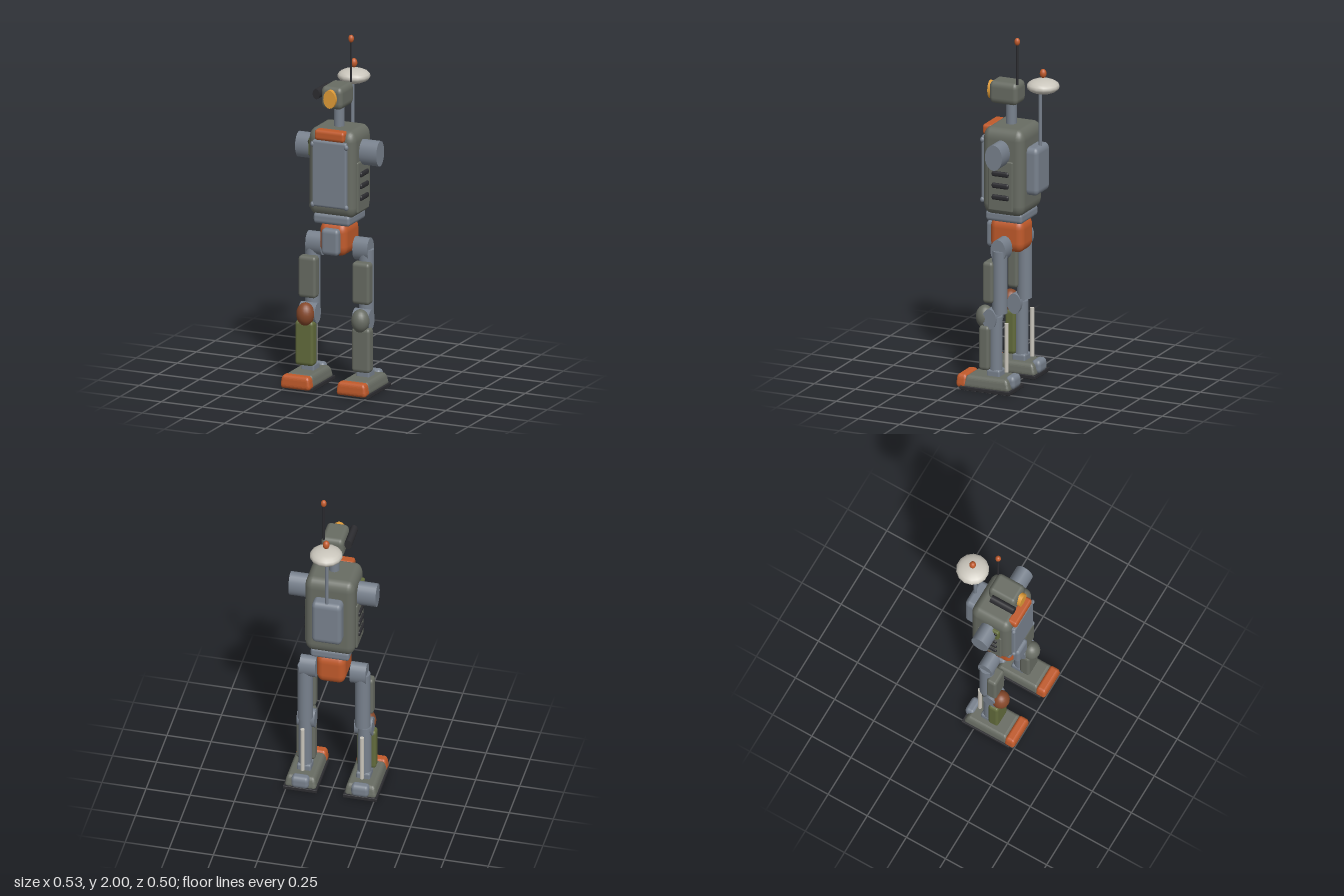
import * as THREE from 'three';
import { RoundedBoxGeometry } from 'three/addons/geometries/RoundedBoxGeometry.js';

const COLORS = {
  body: 0x686c63, steel: 0x78818d, orange: 0xc05a2b, dark: 0x2c2c30,
  rust: 0x86482a, olive: 0x626b3c, pale: 0xcac6bc, amber: 0xe09c38,
};
const mats = {};
for (const k in COLORS) mats[k] = new THREE.MeshStandardMaterial({ color: COLORS[k] });

// All round forms are stretched upward by this factor
const S = 1.4;

function add(parent, name, geo, color, x, y, z) {
  const mesh = new THREE.Mesh(geo, mats[color]);
  mesh.name = name;
  mesh.position.set(x, y, z);
  parent.add(mesh);
  return mesh;
}

// Rounded box given by its min/max on each axis; taper narrows the top
function box(parent, name, color, [x0, x1], [y0, y1], [z0, z1], r = 0.015, taper = 0) {
  const w = x1 - x0, h = y1 - y0, d = z1 - z0;
  const geo = new RoundedBoxGeometry(w, h / S, d, 3, Math.min(r, w * 0.49, h / S * 0.49, d * 0.49));
  geo.scale(1, S, 1);
  if (taper) {
    const p = geo.attributes.position;
    for (let i = 0; i < p.count; i++) {
      const k = 1 - taper * (p.getY(i) / h + 0.5);
      p.setX(i, p.getX(i) * k);
      p.setZ(i, p.getZ(i) * k);
    }
    geo.computeVertexNormals();
  }
  return add(parent, name, geo, color, (x0 + x1) / 2, (y0 + y1) / 2, (z0 + z1) / 2);
}

// Cylinder along 'x', 'y' or 'z'; ry is the vertical radius for lying ones
function rod(parent, name, color, axis, r, len, x, y, z, ry = r * S, seg = 24) {
  const geo = new THREE.CylinderGeometry(r, r, len, seg);
  if (axis === 'x') geo.rotateZ(Math.PI / 2);
  if (axis === 'z') geo.rotateX(Math.PI / 2);
  if (axis !== 'y') geo.scale(1, ry / r, 1);
  return add(parent, name, geo, color, x, y, z);
}

function ball(parent, name, color, r, ry, x, y, z, seg = 16, rings = 12) {
  return add(parent, name, new THREE.SphereGeometry(r, seg, rings).scale(1, ry / r, 1), color, x, y, z);
}

function part(root, name) {
  const g = new THREE.Group();
  g.name = name;
  root.add(g);
  return g;
}

function buildHead(g) {
  rod(g, 'neck', 'steel', 'y', 0.03, 0.16, 0, 1.55, 0.033);
  box(g, 'skull', 'body', [-0.064, 0.064], [1.607, 1.735], [-0.028, 0.143], 0.025);
  rod(g, 'eyeLens', 'amber', 'z', 0.037, 0.04, 0, 1.67, 0.143);
  rod(g, 'sideScope', 'dark', 'z', 0.021, 0.146, -0.084, 1.69, 0.082);
  rod(g, 'antenna', 'dark', 'y', 0.006, 0.25, 0.046, 1.855, -0.024, 0, 10);
  ball(g, 'antennaTip', 'orange', 0.016, 0.022, 0.046, 1.978, -0.024);
}

function buildTorso(g) {
  box(g, 'chest', 'body', [-0.142, 0.142], [0.99, 1.49], [-0.098, 0.15], 0.045);
  box(g, 'chestPlate', 'steel', [-0.104, 0.104], [1.05, 1.43], [0.13, 0.17], 0.01);
  box(g, 'collar', 'orange', [-0.09, 0.09], [1.43, 1.49], [0.11, 0.17], 0.014);
  box(g, 'backpack', 'steel', [-0.085, 0.085], [1.11, 1.385], [-0.165, -0.08], 0.025);
  for (const s of [-1, 1]) {
    for (const y of [1.06, 1.405]) ball(g, 'bolt', 'steel', 0.013, 0.016, s * 0.102, y, 0.162, 10, 8);
    rod(g, 'shoulder', 'steel', 'x', 0.052, 0.13, s * 0.182, 1.355, 0.028);
    const side = (a, b) => s > 0 ? [a, b] : [-b, -a];
    box(g, 'ventPanel', 'body', side(0.125, 0.149), [1.02, 1.31], [-0.042, 0.107], 0.006);
    for (const y of [1.1, 1.167, 1.235])
      box(g, 'ventSlat', 'dark', side(0.138, 0.16), [y - 0.015, y + 0.015], [-0.02, 0.082], 0.009);
  }
  // Small patch on the right flank
  box(g, 'sidePatch', 'olive', [-0.162, -0.135], [1.31, 1.415], [0.046, 0.097], 0.01);
  ball(g, 'patchStud', 'dark', 0.009, 0.013, -0.16, 1.39, 0.08, 10, 8);
}

function buildDish(g) {
  rod(g, 'dishMast', 'steel', 'y', 0.01, 0.34, 0, 1.54, -0.143, 0, 12);
  ball(g, 'dish', 'pale', 0.092, 0.041, 0, 1.727, -0.16, 14, 10);
  ball(g, 'dishTip', 'orange', 0.019, 0.026, 0, 1.8, -0.16);
}

function buildPelvis(g) {
  box(g, 'waist', 'steel', [-0.11, 0.11], [0.945, 1.005], [-0.08, 0.142], 0.015);
  box(g, 'pelvis', 'orange', [-0.083, 0.083], [0.765, 0.955], [-0.07, 0.133], 0.04);
  box(g, 'groinPlate', 'steel', [-0.052, 0.052], [0.775, 0.925], [0.11, 0.165], 0.018);
}

function buildLeg(g, s, kneeColor, shinColor) {
  const c = 0.163;
  const at = (mid, half) => [s * mid - half, s * mid + half];
  rod(g, 'hipJoint', 'steel', 'x', 0.046, 0.09, s * 0.143, 0.8, 0.028, 0.066);
  rod(g, 'thighStrut', 'steel', 'y', 0.042, 0.36, s * c, 0.62, 0.028);
  box(g, 'thighPlate', 'body', at(c, 0.053), [0.5, 0.738], [0.05, 0.112], 0.016);
  rod(g, 'kneeJoint', 'steel', 'x', 0.041, 0.1, s * c, 0.41, 0.07, 0.058);
  ball(g, 'kneeCap', kneeColor, 0.051, 0.066, s * (c + 0.004), 0.41, 0.116, 20, 14);
  rod(g, 'shinStrut', 'steel', 'y', 0.038, 0.34, s * 0.168, 0.25, 0.05);
  box(g, 'shinPlate', shinColor, at(0.172, 0.055), [0.115, 0.37], [0.068, 0.13], 0.016);
  rod(g, 'calfPiston', 'pale', 'y', 0.012, 0.28, s * 0.168, 0.245, -0.015, 0, 12);
  // Foot
  box(g, 'ankle', 'steel', at(0.168, 0.04), [0.07, 0.12], [0.01, 0.09], 0.01);
  box(g, 'sole', 'dark', at(0.17, 0.096), [0, 0.022], [-0.077, 0.227], 0.003);
  box(g, 'footShell', 'body', at(0.17, 0.092), [0.012, 0.084], [-0.073, 0.215], 0.018, 0.14);
  box(g, 'toeCap', 'orange', at(0.17, 0.093), [0.01, 0.086], [0.188, 0.254], 0.018, 0.12);
  box(g, 'heel', 'steel', at(0.17, 0.05), [0.02, 0.096], [-0.085, -0.028], 0.02);
}

export function createModel() {
  const root = new THREE.Group();
  root.name = 'walkerRobot';
  buildHead(part(root, 'head'));
  buildTorso(part(root, 'torso'));
  buildDish(part(root, 'dishAssembly'));
  buildPelvis(part(root, 'hips'));
  buildLeg(part(root, 'leftLeg'), 1, 'body', 'body');
  buildLeg(part(root, 'rightLeg'), -1, 'rust', 'olive');
  return root;
}
